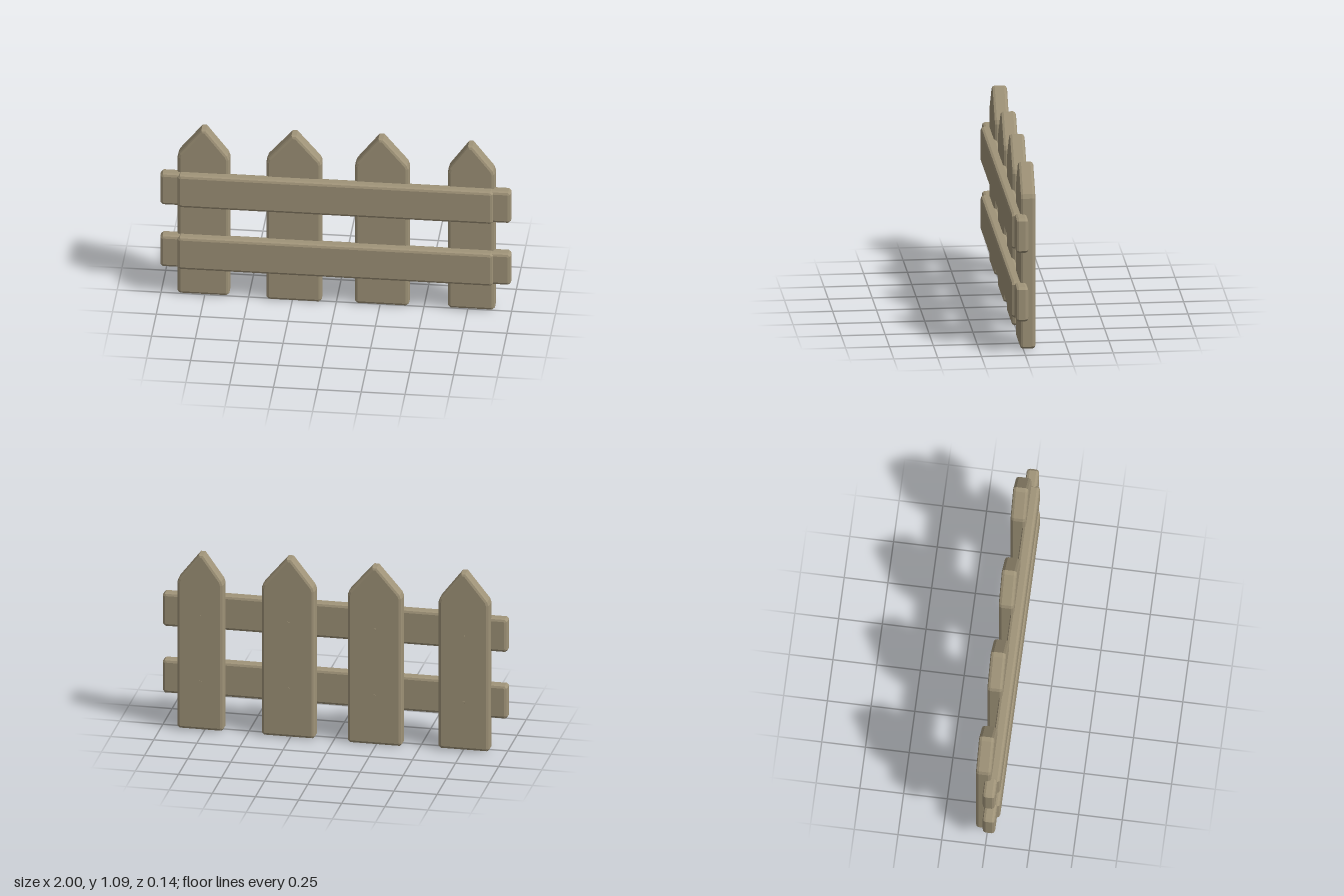
import * as THREE from 'three';

const BEVEL = 0.017;

// Worn plank: an outline in x/y with clipped corners, bevelled between z0 and z1
function plank(corners, z0, z1, material, name) {
  const n = corners.length;
  const pts = [];
  corners.forEach(([x, y, clip = 0.014], i) => {
    const p = new THREE.Vector2(x, y);
    for (const j of [(i + n - 1) % n, (i + 1) % n]) {
      const dir = new THREE.Vector2(corners[j][0], corners[j][1]).sub(p).normalize();
      pts.push(p.clone().addScaledVector(dir, clip));
    }
  });
  const geo = new THREE.ExtrudeGeometry(new THREE.Shape(pts), {
    depth: z1 - z0 - 2 * BEVEL,
    bevelEnabled: true,
    bevelThickness: BEVEL,
    bevelSize: BEVEL,
    bevelOffset: -BEVEL,
    bevelSegments: 2,
  });
  geo.translate(0, 0, z0 + BEVEL);
  const mesh = new THREE.Mesh(geo, material);
  mesh.name = name;
  return mesh;
}

const board = (x0, x1, y0, y1, z0, z1, material, name) =>
  plank([[x0, y0], [x1, y0], [x1, y1], [x0, y1]], z0, z1, material, name);

export function createModel() {
  const fence = new THREE.Group();
  fence.name = 'picketFence';
  const wood = new THREE.MeshStandardMaterial({ color: 0xa09479 });
  wood.name = 'weathered wood';

  // Pickets: left, right, base, shoulder, peak x, peak y
  const pickets = [
    [-0.905, -0.61, 0.008, 0.912, -0.755, 1.1],
    [-0.398, -0.083, 0, 0.912, -0.24, 1.095],
    [0.107, 0.415, 0.005, 0.915, 0.255, 1.105],
    [0.637, 0.905, 0.008, 0.91, 0.765, 1.09],
  ];
  const nailGeo = new THREE.CylinderGeometry(0.01, 0.01, 0.006, 8).rotateX(Math.PI / 2);
  for (const [x0, x1, y0, shoulder, px, py] of pickets) {
    fence.add(plank(
      [[x0, y0], [x1, y0], [x1, shoulder], [px, py, 0.022], [x0, shoulder]],
      -0.068, 0.02, wood, 'picket'));
    // Nail tips on the back
    for (const y of [0.3, 0.7]) {
      const nail = new THREE.Mesh(nailGeo, wood);
      nail.name = 'nail';
      nail.position.set((x0 + x1) / 2, y, -0.068);
      fence.add(nail);
    }
  }

  // Rails, each with set-back end pieces
  for (const [y0, y1] of [[0.193, 0.403], [0.598, 0.808]]) {
    fence.add(board(-0.9, 0.9, y0, y1, 0, 0.07, wood, 'rail'));
    for (const s of [-1, 1]) {
      const a = s * 0.85, b = s * 1;
      fence.add(board(Math.min(a, b), Math.max(a, b), y0 + 0.003, y1 - 0.003, -0.018, 0.053, wood, 'railEnd'));
    }
  }
  return fence;
}
